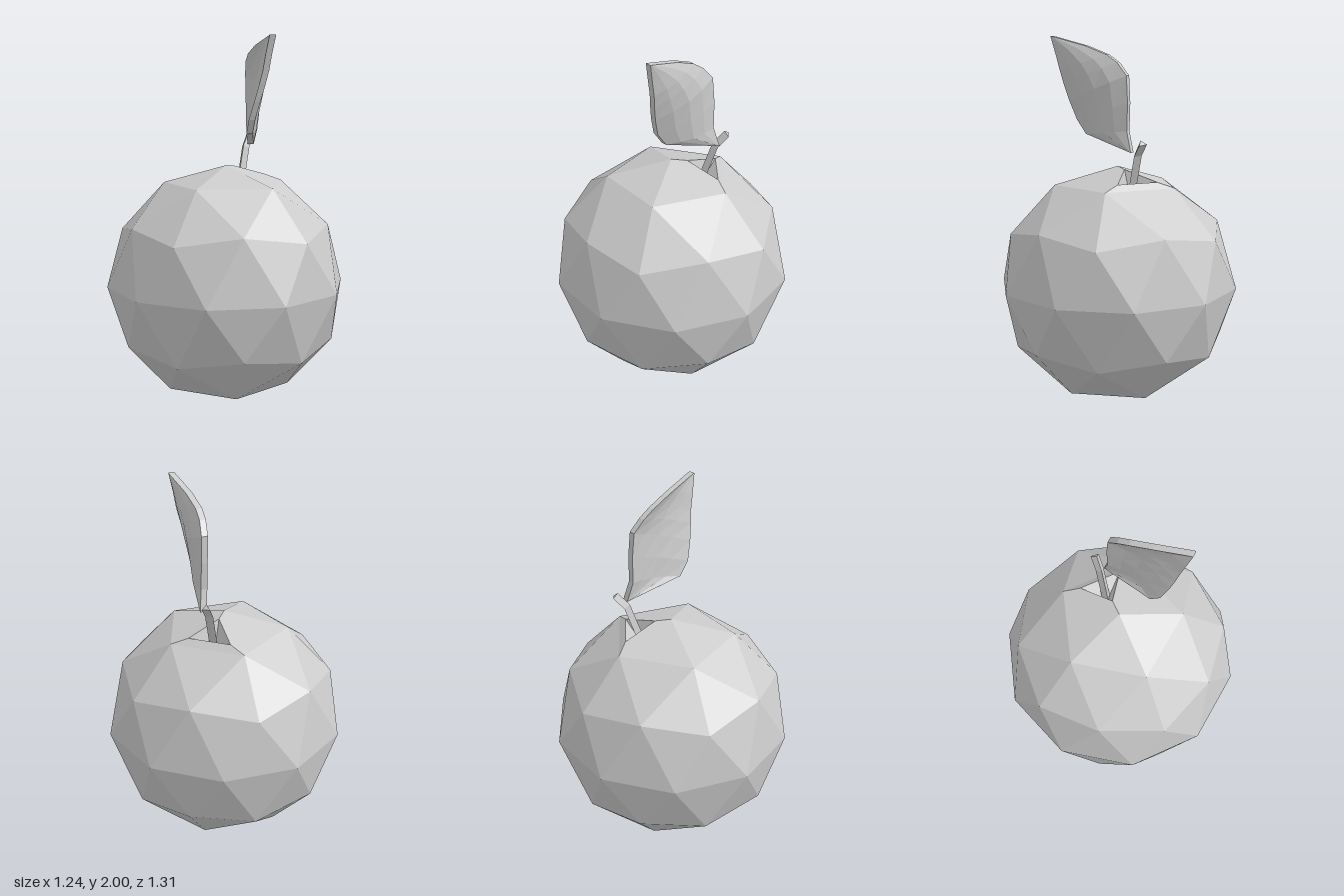
import * as THREE from 'three';

const V = (x, y, z) => new THREE.Vector3(x, y, z);
const R = 0.653;

function makeMesh(name, corners) {
  const geometry = new THREE.BufferGeometry().setFromPoints(corners);
  geometry.computeVertexNormals();
  const mesh = new THREE.Mesh(geometry, new THREE.MeshStandardMaterial({ color: 0xcccccc, flatShading: true }));
  mesh.name = name;
  return mesh;
}

// Joins a list of closed rings into triangle corners, with optional end caps
function loft(rings, capStart, capEnd) {
  const out = [];
  const n = rings[0].length;
  for (let i = 0; i < rings.length - 1; i++) {
    for (let j = 0; j < n; j++) {
      const k = (j + 1) % n;
      const a = rings[i][j], b = rings[i][k], c = rings[i + 1][k], d = rings[i + 1][j];
      out.push(a, b, c, a, c, d);
    }
  }
  const cap = (r) => {
    for (let j = 0; j < n / 2 - 1; j++) {
      const a = r[j], b = r[j + 1], c = r[n - 2 - j], d = r[n - 1 - j];
      if (b !== c) out.push(a, b, c);
      out.push(a, c, d);
    }
  };
  if (capStart) cap([...rings[0]].reverse());
  if (capEnd) cap(rings[rings.length - 1]);
  return out;
}

export function createModel() {
  const group = new THREE.Group();

  // Faceted sphere standing on one of its poles
  const sphere = new THREE.IcosahedronGeometry(R, 1);
  sphere.rotateX(-Math.atan((1 + Math.sqrt(5)) / 2));
  sphere.rotateY(Math.PI / 2);
  sphere.translate(0, R, 0);
  const pos = sphere.attributes.position;
  const faces = [];
  for (let i = 0; i < pos.count; i += 3) {
    faces.push([0, 1, 2].map((k) => new THREE.Vector3().fromBufferAttribute(pos, i + k)));
  }

  // One top face is opened into a raised rim and a dent for the stem
  const middle = (f) => V(0, 0, 0).add(f[0]).add(f[1]).add(f[2]).divideScalar(3);
  const target = V(-0.057, 1.24, -0.176);
  const top = faces.reduce((a, b) => (middle(a).distanceTo(target) < middle(b).distanceTo(target) ? a : b));
  const centre = middle(top);
  const normal = new THREE.Triangle(...top).getNormal(V(0, 0, 0));
  const inset = (scale, lift) => top.map((p) =>
    p.clone().sub(centre).multiplyScalar(scale).add(centre).addScaledVector(normal, lift));
  const fruit = faces.filter((f) => f !== top).flat();
  fruit.push(...loft([top, inset(0.57, 0.02), inset(0.12, -0.07)], false, true));
  group.add(makeMesh('fruit', fruit));

  // Three-sided stem rising from the dent and bending backwards
  const section = (c, tilt) => top.map((p) =>
    p.clone().sub(centre).multiplyScalar(0.11).applyAxisAngle(V(1, 0, 0), tilt).add(c));
  group.add(makeMesh('stem', loft([
    section(centre.clone().addScaledVector(normal, -0.072), 0),
    section(V(-0.073, 1.39, -0.225), -0.2),
    section(V(-0.092, 1.455, -0.28), -0.5),
  ], true, true)));

  // Curled leaf: rows between its left and right edges, from base to tip
  const rows = [
    [V(-0.045, 1.405, -0.24), V(-0.035, 1.409, -0.23)],
    [V(-0.028, 1.515, -0.21), V(0.165, 1.485, -0.01)],
    [V(-0.032, 1.66, -0.21), V(0.21, 1.56, 0.02)],
    [V(-0.027, 1.80, -0.2), V(0.25, 1.66, 0.02)],
    [V(0.015, 1.865, -0.16), V(0.28, 1.75, 0.015)],
    [V(0.065, 1.905, -0.125), V(0.3, 1.82, 0.01)],
    [V(0.17, 1.95, -0.07), V(0.32, 1.9, 0.012)],
    [V(0.338, 1.998, 0.005), V(0.348, 2.0, 0.012)],
  ];
  const facing = V(-0.54, 0, 0.84);
  const steps = 4;
  const leafRings = rows.map(([left, right]) => {
    const bow = -0.1 * left.distanceTo(right);
    const line = (offset) => Array.from({ length: steps + 1 }, (_, j) => {
      const u = j / steps;
      return left.clone().lerp(right, u).addScaledVector(facing, offset + bow * Math.sin(Math.PI * u));
    });
    return [...line(0.017), ...line(-0.017).reverse()];
  });
  group.add(makeMesh('leaf', loft(leafRings, true, true)));

  return group;
}
